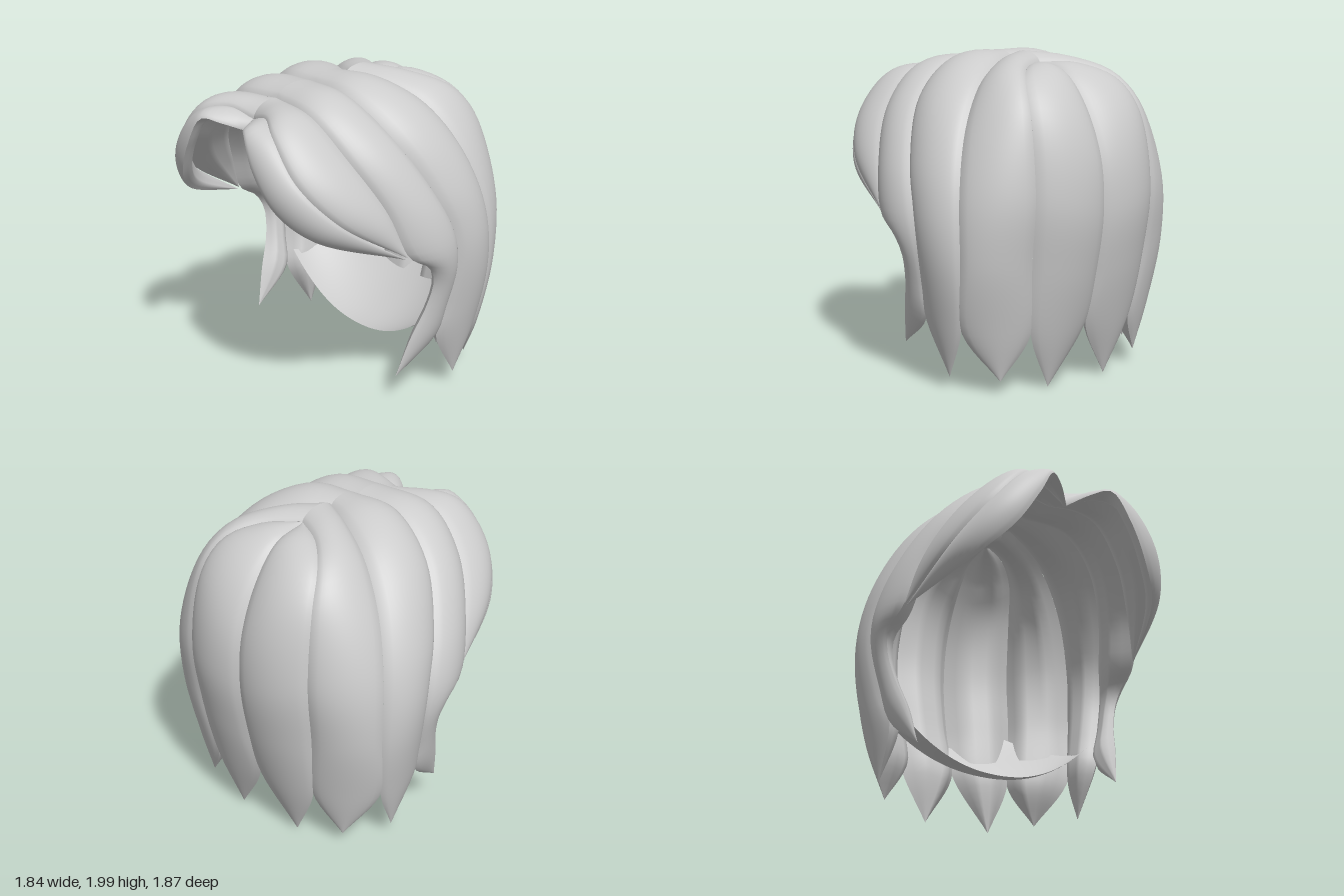
import * as THREE from 'three';
import { mergeGeometries } from 'three/addons/utils/BufferGeometryUtils.js';

const material = new THREE.MeshStandardMaterial({ color: 0xcccccc, side: THREE.DoubleSide });

// Seams between neighbouring locks on the left half, from the parting down
const fringeRim = [[0, 1.71, .69], [.11, 1.76, .81], [.21, 1.78, .88], [.32, 1.6, .91], [.46, 1.37, .86], [.62, 1.2, .7]];
const fringeSeam = [[0, 1.78, .65], [.18, 1.83, .7], [.36, 1.78, .79], [.57, 1.55, .79], [.73, 1.31, .61]];
const templeSeam = [[0, 1.88, .48], [.35, 1.84, .5], [.6, 1.62, .43], [.77, 1.32, .28]];
const earEdge = [[.84, 1.03, .16], [.86, .93, .01], [.84, .82, -.04], [.8, .65, -.02], [.75, .44, .06]];
const sideSeam = [[0, 1.93, .19], [.3, 1.91, .19], [.6, 1.7, .1], [.8, 1.35, -.08], [.86, 1.1, -.19],
  [.86, .9, -.22], [.8, .6, -.19], [.75, .41, -.16]];
const rearSeam = [[0, 1.95, -.06], [.2, 1.92, -.17], [.45, 1.8, -.3], [.65, 1.55, -.42], [.77, 1.2, -.52],
  [.79, .82, -.55], [.74, .39, -.49]];
const backSeam = [[0, 1.93, -.33], [.2, 1.91, -.45], [.36, 1.83, -.62], [.43, 1.65, -.75], [.46, 1.2, -.83],
  [.45, .8, -.79], [.4, .36, -.72]];
const midSeam = [[0, 1.92, -.33], [0, 1.88, -.56], [0, 1.7, -.74], [0, 1.4, -.88], [0, 1.07, -.91],
  [0, .7, -.85], [0, .38, -.76]];

// name, front edge, back edge, shared tip, bulge relative to width
const locks = [
  ['fringeLock', fringeRim, fringeSeam, [.83, 1.02, .18], .2],
  ['templeLock', fringeSeam, templeSeam, [.84, 1.03, .17], .2],
  ['earLock', [...templeSeam, ...earEdge], sideSeam, [.7, .19, .13], .18],
  ['sideLock', sideSeam, rearSeam, [.72, .08, -.35], .19],
  ['rearLock', rearSeam, backSeam, [.55, .08, -.62], .19],
  ['backLock', backSeam, midSeam, [.23, 0, -.68], .16],
];

// Grid surface from a point function of row and column fractions
function grid(rows, cols, pointAt, flip) {
  const pos = [], index = [];
  for (let i = 0; i <= rows; i++) {
    for (let j = 0; j <= cols; j++) {
      pos.push(...pointAt(i / rows, j / cols).toArray());
      if (i === rows || j === cols) continue;
      const a = i * (cols + 1) + j, b = a + cols + 1;
      if (flip) index.push(a, a + 1, b, b, a + 1, b + 1);
      else index.push(a, b, a + 1, b, b + 1, a + 1);
    }
  }
  const g = new THREE.BufferGeometry();
  g.setAttribute('position', new THREE.Float32BufferAttribute(pos, 3));
  g.setIndex(index);
  g.computeVertexNormals();
  return g;
}

const curve = (pts) => new THREE.CatmullRomCurve3(pts.map((p) => new THREE.Vector3(...p)), false, 'centripetal');

// Lens-shaped lock: rounded outer face and flatter inner face between two edges
function makeLock([name, front, back, tip, bulge], side) {
  const edgeA = curve([...front, tip]), edgeB = curve([...back, tip]);
  const face = (height) => (t, s) => {
    const a = edgeA.getPointAt(t), b = edgeB.getPointAt(t);
    const width = a.distanceTo(b);
    const p = a.lerp(b, s);
    const out = new THREE.Vector3(p.x, Math.max(p.y - 1.15, 0), p.z + .05).normalize();
    p.addScaledVector(out, height(width, s));
    p.x *= side;
    return p;
  };
  const outer = face((w, s) => bulge * w * Math.pow(Math.max(Math.sin(Math.PI * s), 0), .7));
  const inner = face((w, s) => -Math.min(.28 * w, .11) * Math.min(1, 4 * s, 4 * (1 - s)));
  const mesh = new THREE.Mesh(
    mergeGeometries([grid(40, 14, outer, side < 0), grid(40, 8, inner, side > 0)]), material);
  mesh.name = (side > 0 ? 'left ' : 'right ') + name;
  return mesh;
}

export function createModel() {
  const group = new THREE.Group();
  group.name = 'hair';
  for (const side of [1, -1]) {
    for (const lock of locks) group.add(makeLock(lock, side));
  }

  // Curved sheet closing the nape under the back locks
  const nape = new THREE.Mesh(grid(16, 28, (v, s) => {
    const u = s * 2 - 1;
    const half = .7 * Math.sqrt(1 - .8 * v * v);
    return new THREE.Vector3(u * half,
      .21 + .38 * Math.pow(v, 1.8) + .32 * Math.pow(Math.abs(u), 2.2) * (1 - .5 * v),
      -.18 - .62 * v);
  }, true), material);
  nape.name = 'napeSheet';
  group.add(nape);
  return group;
}
